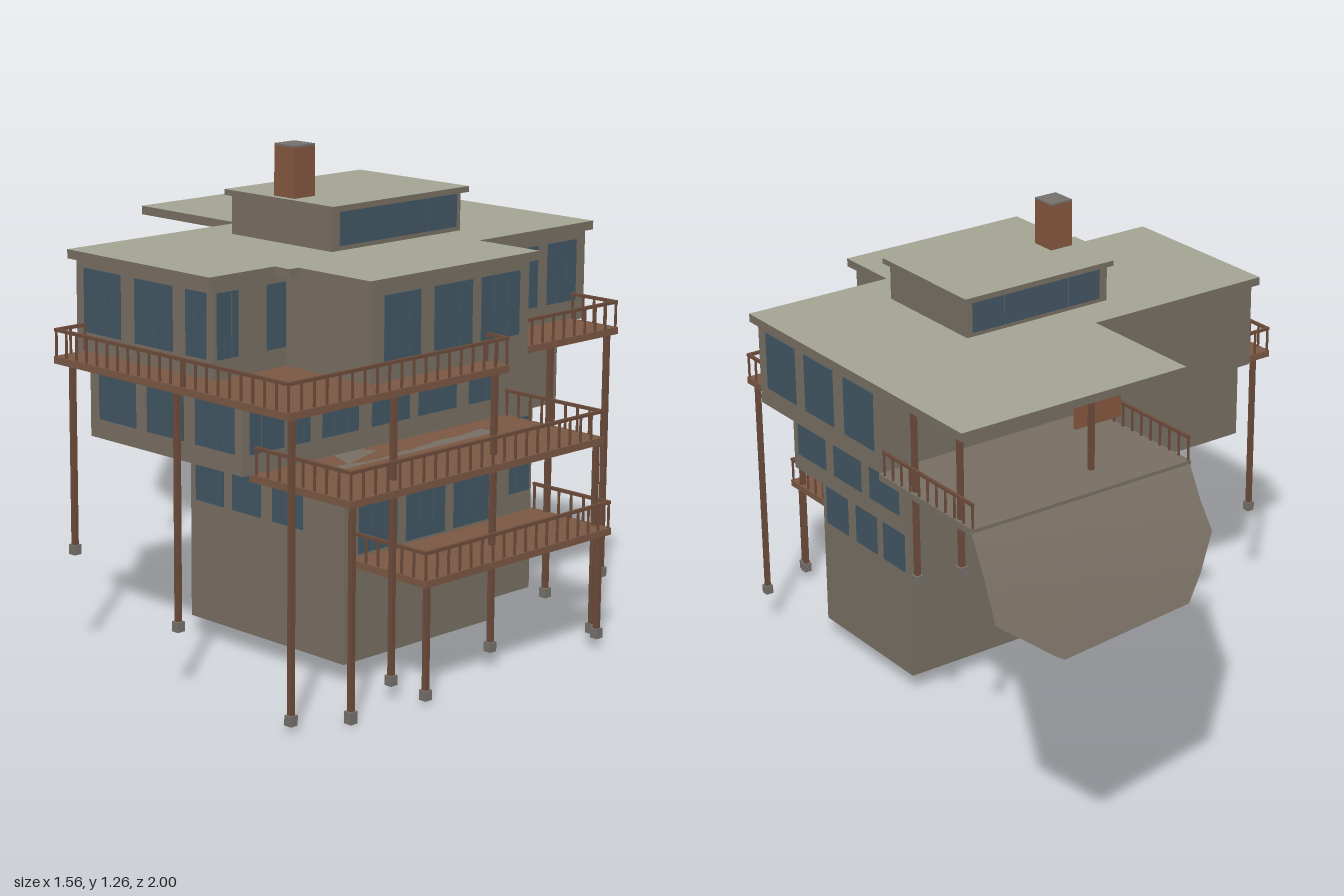
import * as THREE from 'three';

const mat = (name, color) => {
  const m = new THREE.MeshStandardMaterial({ color });
  m.name = name;
  return m;
};

export function createModel() {
  const wall = mat('wall cladding', 0x786f63);
  const roofing = mat('roofing', 0xa3a493);
  const glass = mat('glass', 0x425663);
  const timber = mat('deck timber', 0x7a5743);
  const post = mat('post timber', 0x6c4c3b);
  const brick = mat('chimney brick', 0x84573f);
  const concrete = mat('concrete', 0x75716b);
  const drive = mat('driveway', 0x746b60);
  drive.side = THREE.DoubleSide;

  const house = new THREE.Group();
  house.name = 'hillsideHouse';
  const group = (name) => {
    const g = new THREE.Group();
    g.name = name;
    house.add(g);
    return g;
  };

  // Box given by its limits
  const box = (parent, name, material, x0, x1, y0, y1, z0, z1) => {
    const m = new THREE.Mesh(new THREE.BoxGeometry(x1 - x0, y1 - y0, z1 - z0), material);
    m.position.set((x0 + x1) / 2, (y0 + y1) / 2, (z0 + z1) / 2);
    m.name = name;
    parent.add(m);
    return m;
  };

  // Floor plan of [x, z] corners raised from y0 to y1
  const slab = (name, material, y0, y1, plan) => {
    const shape = new THREE.Shape(plan.map(([x, z]) => new THREE.Vector2(x, -z)));
    const geo = new THREE.ExtrudeGeometry(shape, { depth: y1 - y0, bevelEnabled: false });
    geo.rotateX(-Math.PI / 2);
    const m = new THREE.Mesh(geo, material);
    m.position.y = y0;
    m.name = name;
    house.add(m);
  };

  // Storeys, each one larger than the one below
  slab('lowerStorey', wall, 0.05, 0.54,
    [[-0.43, 0.2], [0.38, 0.2], [0.38, 0.63], [0.105, 0.63], [0.105, 0.75], [-0.43, 0.75]]);
  slab('middleStorey', wall, 0.54, 0.755,
    [[-0.66, 0.085], [0.46, 0.085], [0.46, 0.64], [-0.66, 0.64]]);
  slab('upperStorey', wall, 0.755, 0.99,
    [[-0.68, 0.06], [0.55, 0.06], [0.55, 0.65], [0.11, 0.65], [0.11, 0.845], [-0.44, 0.845], [-0.44, 0.56], [-0.68, 0.56]]);
  slab('mainRoof', [roofing, wall], 0.99, 1.013,
    [[-0.7, 0.05], [-0.13, 0.05], [-0.13, -0.33], [0.57, -0.33], [0.57, 0.66], [0.13, 0.66],
      [0.13, 0.86], [-0.46, 0.86], [-0.46, 0.62], [-0.49, 0.62], [-0.49, 0.57], [-0.7, 0.57]]);

  // Rooftop lantern and chimney
  box(house, 'lanternWalls', wall, -0.255, 0.205, 1.01, 1.115, 0.165, 0.525);
  slab('lanternRoof', [roofing, wall], 1.113, 1.128,
    [[-0.268, 0.152], [0.218, 0.152], [0.218, 0.542], [-0.268, 0.542]]);
  box(house, 'chimney', brick, -0.25, -0.18, 1.12, 1.255, 0.315, 0.388);
  box(house, 'chimneyCap', concrete, -0.25, -0.18, 1.255, 1.26, 0.315, 0.388);

  // Windows: a row of panes from a to b, on a wall facing z or x
  const windows = group('windows');
  const paneRow = (axis, at, a, b, y0, y1, n = 3) => {
    const w = (b - a) / n, t = 0.004, gap = 0.002;
    for (let i = 0; i < n; i++) {
      const p = a + i * w + gap, q = a + (i + 1) * w - gap;
      if (axis === 'z') box(windows, 'windowPane', glass, p, q, y0, y1, at - t, at + t);
      else box(windows, 'windowPane', glass, at - t, at + t, y0, y1, p, q);
    }
  };
  const top = [0.81, 0.97], mid = [0.59, 0.745], low = [0.36, 0.525];
  for (const [a, b, z] of [[-0.67, -0.6, 0.56], [-0.51, -0.445, 0.56], [-0.4, -0.275, 0.845], [-0.23, -0.095, 0.845],
    [-0.065, 0.075, 0.845], [0.13, 0.245, 0.65], [0.265, 0.365, 0.65], [0.4, 0.515, 0.65]])
    paneRow('z', z, a, b, ...top);
  for (const [a, b] of [[-0.64, -0.525], [-0.51, -0.44], [-0.4, -0.275], [-0.23, -0.095], [-0.065, 0.075], [0.12, 0.22]])
    paneRow('z', 0.64, a, b, ...mid);
  for (const [a, b, z] of [[-0.385, -0.25, 0.75], [-0.22, -0.08, 0.75], [-0.05, 0.08, 0.75], [0.12, 0.2, 0.63], [0.29, 0.37, 0.63]])
    paneRow('z', z, a, b, 0.32, 0.52);
  for (const [a, b] of [[0.09, 0.23], [0.28, 0.42], [0.465, 0.61]]) {
    paneRow('x', 0.55, a, b, ...top);
    paneRow('x', -0.68, a, Math.min(b, 0.54), ...top);
  }
  for (const [a, b] of [[0.12, 0.26], [0.3, 0.435], [0.475, 0.615]])
    for (const x of [0.46, -0.66]) paneRow('x', x, a, b, ...mid);
  for (const [a, b] of [[0.22, 0.325], [0.355, 0.46], [0.5, 0.61]])
    for (const x of [0.38, -0.43]) paneRow('x', x, a, b, ...low);
  for (const z of [0.165, 0.525]) paneRow('z', z, -0.23, 0.19, 1.025, 1.11, 4);

  // Railing along a straight line between two [x, z] points
  const railing = (parent, y, [x0, z0], [x1, z1]) => {
    const len = Math.hypot(x1 - x0, z1 - z0);
    const n = Math.max(1, Math.round(len / 0.04)), h = 0.066, r = 0.0025;
    for (let i = 0; i <= n; i++) {
      const x = x0 + (x1 - x0) * i / n, z = z0 + (z1 - z0) * i / n;
      box(parent, 'baluster', post, x - r, x + r, y, y + h, z - r, z + r);
    }
    box(parent, 'handrail', post, Math.min(x0, x1) - 0.004, Math.max(x0, x1) + 0.004,
      y + h - 0.004, y + h + 0.004, Math.min(z0, z1) - 0.004, Math.max(z0, z1) + 0.004);
  };

  // Decks: board platform plus railings along its open edges
  const deck = (name, x0, x1, z0, z1, y, rails, material = timber) => {
    const g = group(name);
    box(g, 'platform', material, x0, x1, y - 0.018, y, z0, z1);
    const i = 0.005;
    for (const path of rails)
      for (let k = 1; k < path.length; k++) {
        const inset = ([x, z]) => [THREE.MathUtils.clamp(x, x0 + i, x1 - i), THREE.MathUtils.clamp(z, z0 + i, z1 - i)];
        railing(g, y, inset(path[k - 1]), inset(path[k]));
      }
  };
  deck('upperSideDeck', -0.78, -0.68, 0.09, 0.56, 0.762, [[[-0.78, 0.09], [-0.78, 0.56]], [[-0.78, 0.09], [-0.68, 0.09]]]);
  deck('upperFrontDeck', -0.78, -0.04, 0.56, 0.92, 0.762,
    [[[-0.78, 0.56], [-0.78, 0.92], [-0.04, 0.92], [-0.04, 0.85]]]);
  deck('upperRightDeck', 0.11, 0.5, 0.64, 0.81, 0.762, [[[0.13, 0.81], [0.5, 0.81], [0.5, 0.66]]]);
  deck('middleDeck', -0.63, 0.262, 0.63, 0.97, 0.54, [[[-0.63, 0.65], [-0.63, 0.97], [0.262, 0.97], [0.262, 0.65]]]);
  deck('lowerDeck', -0.41, 0.262, 0.74, 1.0, 0.312, [[[-0.41, 0.76], [-0.41, 1], [0.262, 1], [0.262, 0.75]]]);
  deck('entranceTerrace', -0.13, 0.56, -0.355, 0.06, 0.76,
    [[[0.56, 0.04], [0.56, -0.35]], [[-0.13, 0.04], [-0.13, -0.35]]], wall);
  box(house, 'entrancePanel', brick, -0.07, 0.08, 0.825, 0.94, -0.138, -0.13);

  // Stilts with concrete feet: [x, z, bottom, top]
  const stilts = group('stilts');
  for (const [x, z, y0, y1] of [
    [-0.75, 0.9, 0.015, 0.75], [-0.75, 0.51, 0.15, 0.75], [-0.75, 0.125, 0.26, 0.75],
    [-0.42, 0.9, 0.035, 0.75], [-0.07, 0.9, 0.04, 0.75],
    [0.48, 0.79, 0.095, 0.75], [0.26, 0.79, 0.085, 0.75],
    [-0.61, 0.955, 0.005, 0.53], [0.25, 0.955, 0.03, 0.53],
    [-0.385, 0.98, 0.01, 0.3], [0.24, 0.98, 0.025, 0.3],
    [0.545, -0.085, 0.5, 0.995], [0.545, -0.285, 0.605, 0.995],
    [0.11, -0.245, 0.48, 0.995], [-0.11, -0.345, 0.485, 0.75]]) {
    const r = 0.0065, f = 0.011;
    box(stilts, 'stilt', post, x - r, x + r, y0 + 0.01, y1, z - r, z + r);
    box(stilts, 'foot', concrete, x - f, x + f, y0 < 0.01 ? 0 : y0, y0 + 0.025, z - f, z + f);
  }

  // Driveway: a sheet ruled between its low left edge and high right edge
  const left = [[-0.13, 0.752, -0.35], [-0.06, 0.715, -0.48], [0, 0.69, -0.6], [0.16, 0.682, -0.75], [0.32, 0.71, -0.9], [0.76, 0.747, -1]];
  const right = [[0.56, 0.752, -0.35], [0.615, 0.746, -0.455], [0.67, 0.742, -0.56], [0.725, 0.738, -0.66], [0.78, 0.736, -0.76], [0.765, 0.745, -0.98]];
  const pos = [], index = [];
  left.forEach((p, i) => {
    pos.push(...p, ...right[i]);
    const a = 2 * i;
    if (i) index.push(a - 2, a - 1, a, a - 1, a + 1, a);
  });
  const sheet = new THREE.BufferGeometry();
  sheet.setAttribute('position', new THREE.Float32BufferAttribute(pos, 3));
  sheet.setIndex(index);
  // Face the sheet upwards
  for (let i = 0; i < index.length; i += 3) [index[i + 1], index[i + 2]] = [index[i + 2], index[i + 1]];
  const v = index.slice(0, 3).map((k) => new THREE.Vector3(pos[3 * k], pos[3 * k + 1], pos[3 * k + 2]));
  const up = v[1].clone().sub(v[0]).cross(v[2].clone().sub(v[0])).y > 0;
  if (up) sheet.setIndex(index);
  sheet.computeVertexNormals();
  const driveway = new THREE.Mesh(sheet, drive);
  driveway.name = 'driveway';
  house.add(driveway);

  return house;
}
